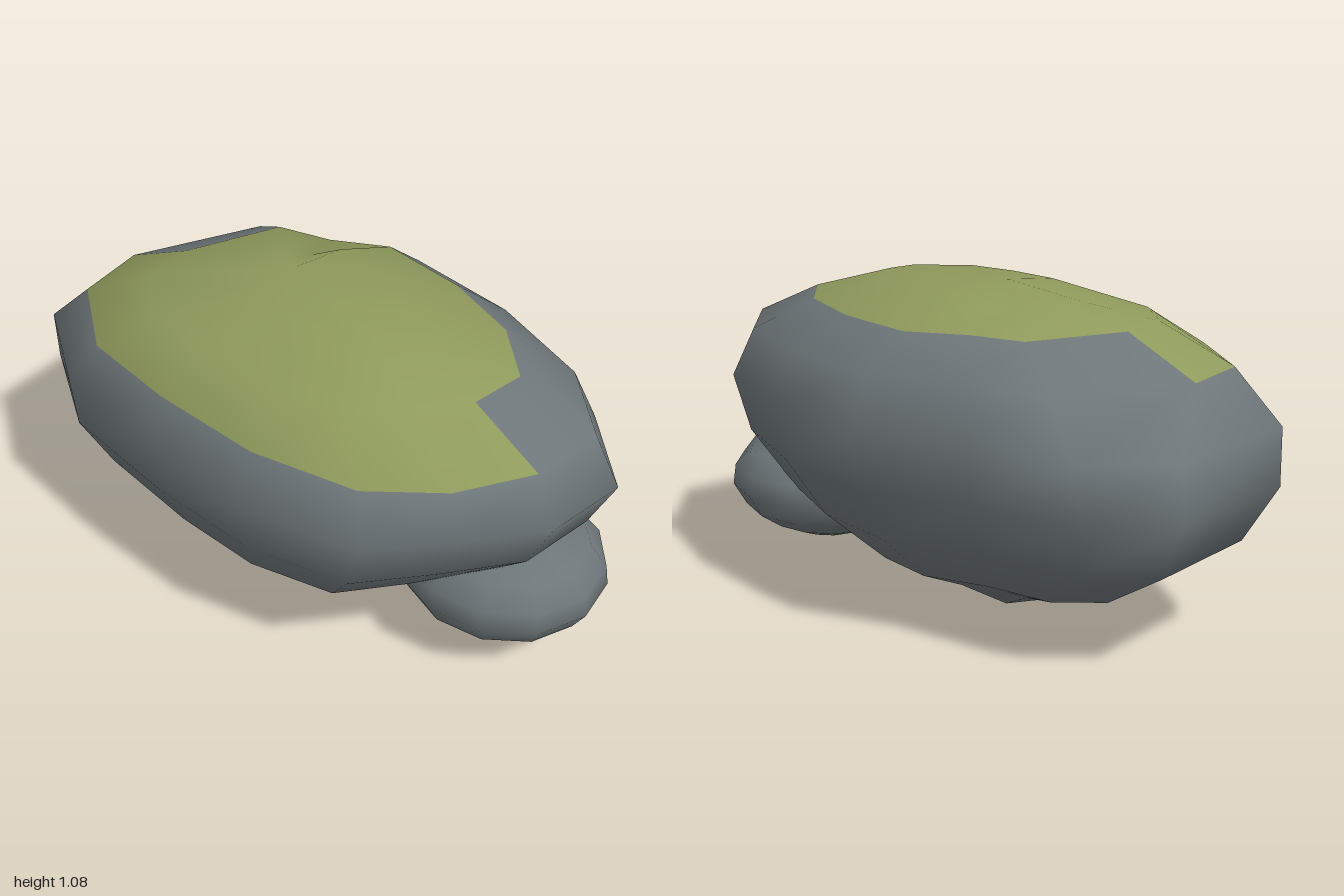
import * as THREE from 'three';

const stone = new THREE.MeshStandardMaterial({ color: 0x6e7679 });
stone.name = 'stone grey';
const moss = new THREE.MeshStandardMaterial({ color: 0x8f9a5c });
moss.name = 'moss green';

// Skins rings of points between a bottom and a top pole; isMoss(ring, segment) picks the green faces
function skin(rings, bottom, top, isMoss) {
  const n = rings[0].length, last = rings.length - 1;
  const faces = [[], []];
  const id = (r, s) => 1 + r * n + (s % n);
  const topId = 1 + rings.length * n;
  for (let s = 0; s < n; s++) {
    faces[0].push(0, id(0, s), id(0, s + 1));
    for (let r = 0; r < last; r++) {
      const a = id(r, s), b = id(r, s + 1), c = id(r + 1, s), d = id(r + 1, s + 1);
      faces[isMoss(r, s) ? 1 : 0].push(a, c, b, b, c, d);
    }
    faces[isMoss(last, s) ? 1 : 0].push(id(last, s), topId, id(last, s + 1));
  }
  const geo = new THREE.BufferGeometry();
  geo.setAttribute('position', new THREE.Float32BufferAttribute([bottom, ...rings.flat(), top].flat(), 3));
  geo.setIndex([...faces[0], ...faces[1]]);
  geo.addGroup(0, faces[0].length, 0);
  geo.addGroup(faces[0].length, faces[1].length, 1);
  geo.computeVertexNormals();
  return geo;
}

function bigRock() {
  // Widest outline seen from above: x, z
  const outline = [
    [0.965, 0], [0.82, 0.23], [0.65, 0.47], [0.29, 0.585], [-0.12, 0.61], [-0.56, 0.59], [-0.92, 0.40],
    [-1.0, -0.12], [-0.81, -0.35], [-0.46, -0.45], [-0.13, -0.62], [0.3, -0.61], [0.7, -0.5], [0.97, -0.28],
  ];
  // Height, then the share of the outline reached to the right, to the left and in depth
  const levels = [
    [0.115, 0.28, 0.32, 0.31], [0.185, 0.48, 0.61, 0.56], [0.34, 0.74, 0.89, 0.81],
    [0.52, 0.92, 1.0, 0.96], [0.70, 1.0, 0.98, 1.0], [0.86, 0.93, 0.78, 0.9],
    [0.975, 0.70, 0.5, 0.67], [1.06, 0.44, 0.25, 0.31],
  ];
  const cx = -0.12;
  const rings = levels.map(([y, right, left, depth], r) => outline.map(([x, z], s) => {
    const dx = x - cx;
    // The left end swings forward on the upper rings
    const pz = s === 7 && r > 4 ? 0.12 * depth / 0.9 : z * depth;
    const dip = r === 7 && dx < -0.1 ? 0.035 : (r === 5 && s === 1 ? 0.035 : 0);
    return [cx + dx * (dx > 0 ? right : left), y - dip, pz];
  }));
  // Moss hangs one ring lower on the front
  const isMoss = (r, s) => r >= 6 || (r === 5 && s < 7);
  return skin(rings, [cx, 0, 0], [cx, 1.08, 0], isMoss);
}

function smallRock() {
  const levels = [
    [0.105, 0.34], [0.145, 0.63], [0.2, 0.87], [0.275, 1.0], [0.345, 0.97], [0.41, 0.82], [0.455, 0.55],
  ];
  const n = 12;
  const rings = levels.map(([y, k], r) => Array.from({ length: n }, (_, s) => {
    const a = s / n * Math.PI * 2;
    // Small dent in the upper back
    const dent = s === 10 && r > 4 ? 0.03 : 0;
    return [0.65 + 0.35 * k * Math.cos(a), y - dent, -0.16 + 0.325 * k * Math.sin(a)];
  }));
  return skin(rings, [0.65, 0.07, -0.15], [0.65, 0.47, -0.18], () => false);
}

export function createModel() {
  const group = new THREE.Group();
  group.name = 'mossyRocks';
  const parts = { bigRock: bigRock(), smallRock: smallRock() };
  for (const [name, geo] of Object.entries(parts)) {
    const mesh = new THREE.Mesh(geo, name === 'bigRock' ? [stone, moss] : stone);
    mesh.name = name;
    group.add(mesh);
  }
  return group;
}
